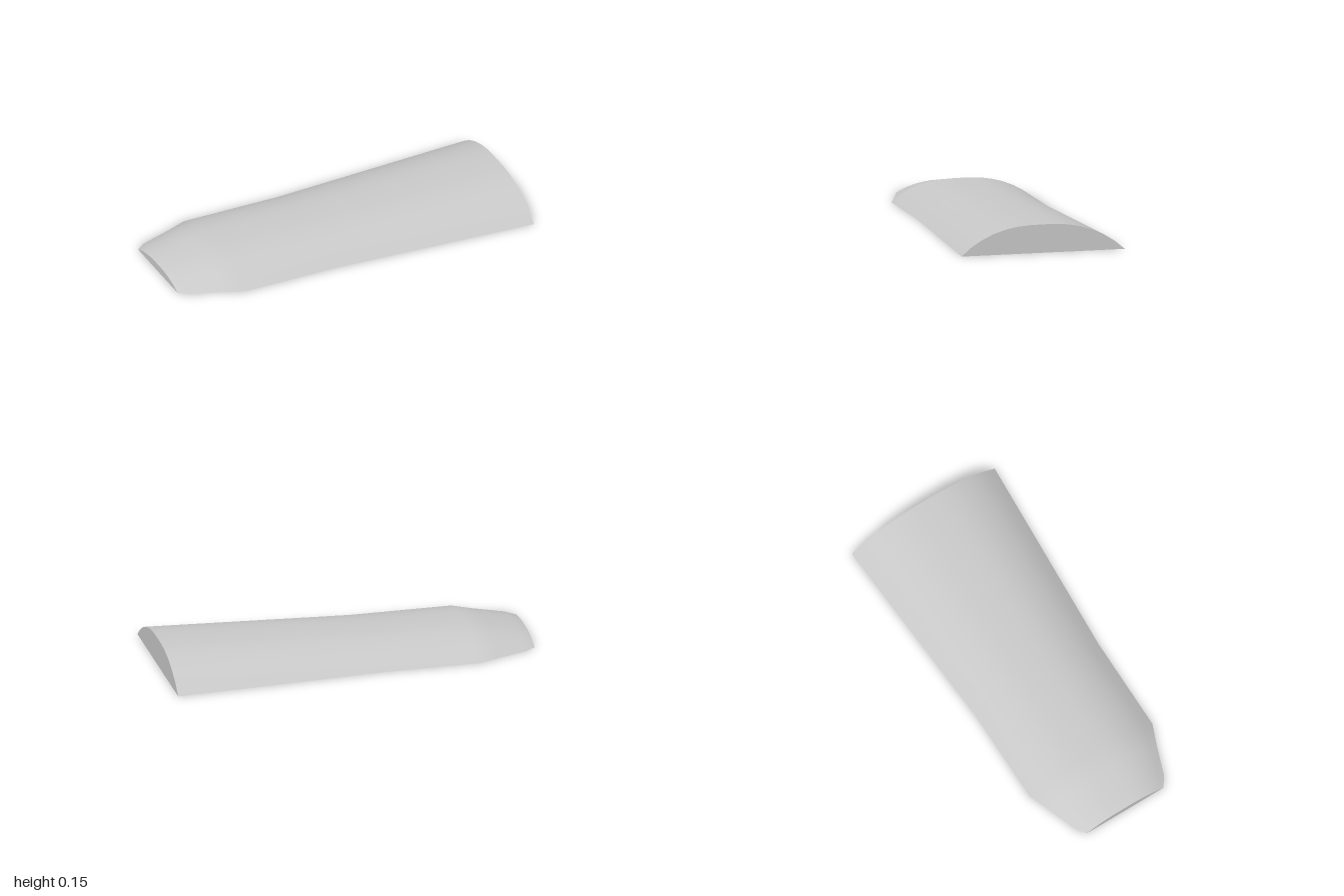
import * as THREE from 'three';

// Stations along the length: x, half width, height
const STATIONS = [
  [-1, 0.24, 0.042], [-0.945, 0.28, 0.06], [-0.775, 0.34, 0.093],
  [-0.665, 0.384, 0.115], [-0.13, 0.384, 0.116], [1, 0.449, 0.153],
];

// Half of the domed cross-section, edge to crown: width and height fractions
const HALF = [
  [1, 0], [0.876, 0.305], [0.743, 0.55], [0.598, 0.745],
  [0.454, 0.875], [0.313, 0.957], [0.158, 0.992], [0, 1],
];
const PROFILE = [...HALF, ...HALF.slice(0, -1).reverse().map(([z, y]) => [-z, y])];

// Joins rows of points into a surface
function skin(rows) {
  const n = rows[0].length, index = [];
  for (let i = 0; i < rows.length - 1; i++) {
    for (let j = 0; j < n - 1; j++) {
      const a = i * n + j, b = a + n;
      index.push(a, b, a + 1, b, b + 1, a + 1);
    }
  }
  const geo = new THREE.BufferGeometry();
  geo.setAttribute('position', new THREE.Float32BufferAttribute(rows.flat(2), 3));
  geo.setIndex(index);
  geo.computeVertexNormals();
  return geo;
}

export function createModel() {
  const group = new THREE.Group();
  group.name = 'taperedDome';
  const grey = new THREE.MeshStandardMaterial({ color: 0xc8c8c8 });
  grey.name = 'lightGrey';
  const add = (name, geo) => {
    const mesh = new THREE.Mesh(geo, grey);
    mesh.name = name;
    group.add(mesh);
    return mesh;
  };

  // Smooth arched top
  add('archedTop', skin(STATIONS.map(([x, w, h]) =>
    PROFILE.map(([z, y]) => [x, y * h, z * w]))));

  // Flat underside
  add('flatBase', skin(STATIONS.map(([x, w]) => [[x, 0, -w], [x, 0, w]])));

  // Flat end caps: the shape's x runs along -z when facing +x
  const endCap = (name, [x, w, h], side) => {
    const shape = new THREE.Shape(PROFILE.map(([z, y]) => new THREE.Vector2(z * w, y * h)));
    const cap = add(name, new THREE.ShapeGeometry(shape));
    cap.position.x = x;
    cap.rotation.y = side * Math.PI / 2;
  };
  endCap('narrowEnd', STATIONS[0], -1);
  endCap('wideEnd', STATIONS[STATIONS.length - 1], 1);

  return group;
}
